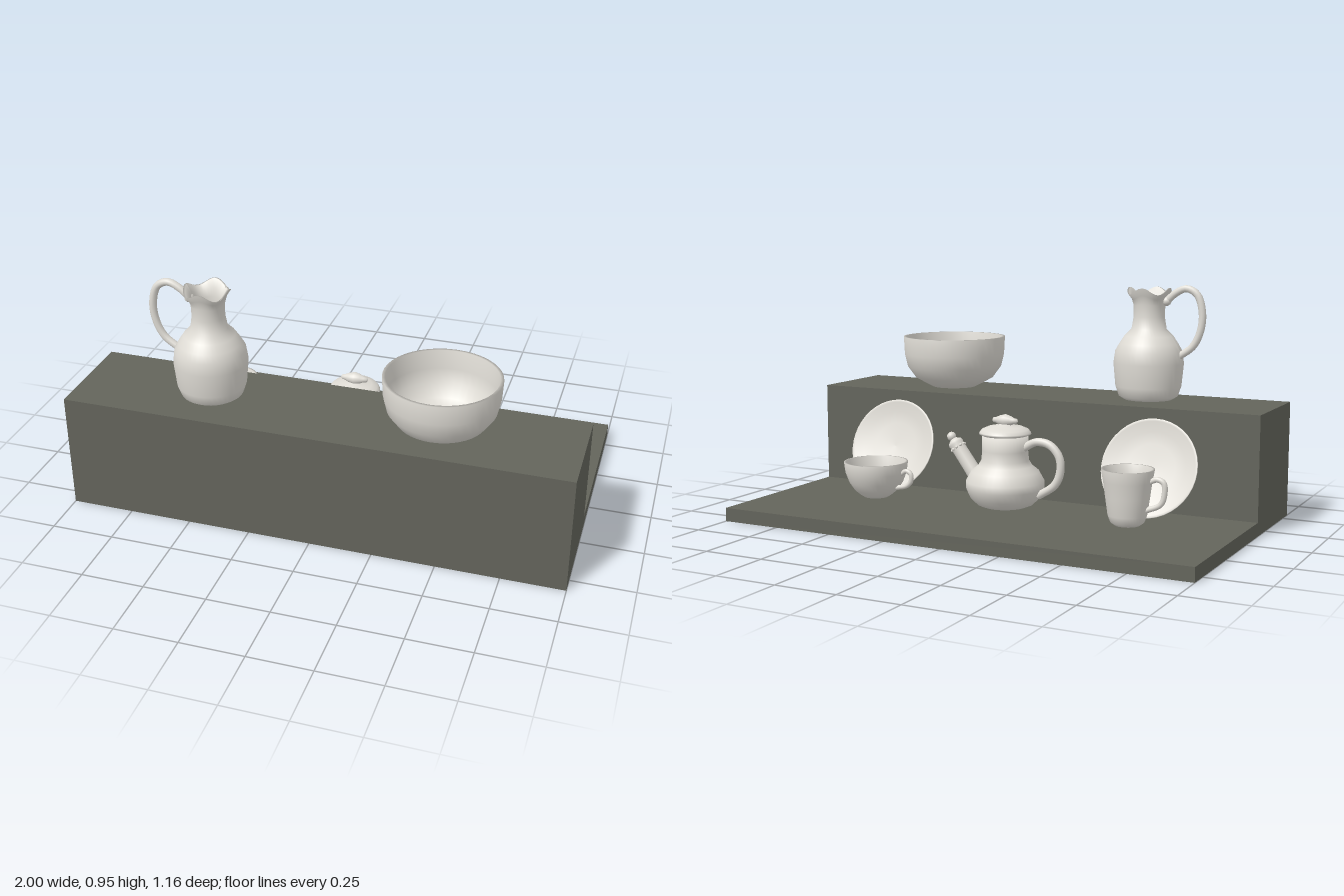
import * as THREE from 'three';

const ceramic = new THREE.MeshStandardMaterial({ color: 0xdedbd4 });
ceramic.name = 'pale ceramic';
const stone = new THREE.MeshStandardMaterial({ color: 0x63645b });
stone.name = 'grey stone';

const V2 = (p) => new THREE.Vector2(p[0], p[1]);

function add(parent, name, geometry, material = ceramic) {
  const mesh = new THREE.Mesh(geometry, material);
  mesh.name = name;
  parent.add(mesh);
  return mesh;
}

function group(parent, name, x, y, z) {
  const g = new THREE.Group();
  g.name = name;
  g.position.set(x, y, z);
  parent.add(g);
  return g;
}

// Solid of revolution, profile listed from bottom to top
const turned = (pts, sides = 40) => new THREE.LatheGeometry(pts.map(V2), sides, -Math.PI / 2);

// Hollow vessel: the outer profile, then an inner wall back down to the floor
function vessel(outer, wall, floor) {
  const inner = outer
    .filter((p) => p[1] > floor)
    .map(([r, y]) => [r - wall, y])
    .reverse();
  const low = inner[inner.length - 1];
  return turned([[0, outer[0][1]], ...outer, ...inner, [low[0] * 0.6, floor], [0, floor]]);
}

// Round handle along a path in the xy plane
function handle(parent, name, pts, radius) {
  const curve = new THREE.CatmullRomCurve3(pts.map(([x, y]) => new THREE.Vector3(x, y, 0)));
  return add(parent, name, new THREE.TubeGeometry(curve, 32, radius, 10));
}

function ball(parent, name, r, x, y, z = 0) {
  const m = add(parent, name, new THREE.SphereGeometry(r, 16, 12));
  m.position.set(x, y, z);
  return m;
}

export function createModel() {
  const model = new THREE.Group();
  model.name = 'teaSetOnStep';

  // Stepped stand
  const step = add(model, 'raisedStep', new THREE.BoxGeometry(2, 0.475, 0.418), stone);
  step.position.set(0, 0.2375, 0.356);
  const slab = add(model, 'lowSlab', new THREE.BoxGeometry(2, 0.055, 0.727), stone);
  slab.position.set(0, 0.0275, -0.2165);

  // Large bowl
  const bowl = group(model, 'largeBowl', 0.46, 0.48, 0.357);
  add(bowl, 'bowlBody', vessel([
    [0.095, 0], [0.13, 0.018], [0.172, 0.042], [0.207, 0.09], [0.22, 0.145], [0.224, 0.222],
  ], 0.012, 0.015));

  // Pitcher with a four-lobed wavy rim
  const pitcher = group(model, 'pitcher', -0.46, 0.48, 0.355);
  const jug = vessel([
    [0.1, 0], [0.122, 0.014], [0.136, 0.055], [0.145, 0.15], [0.138, 0.2], [0.121, 0.23],
    [0.1, 0.262], [0.072, 0.29], [0.064, 0.34], [0.065, 0.39], [0.074, 0.42], [0.09, 0.445],
  ], 0.008, 0.012);
  const pos = jug.attributes.position;
  for (let i = 0; i < pos.count; i++) {
    const lift = Math.max(0, (pos.getY(i) - 0.38) / 0.065);
    const angle = Math.atan2(pos.getZ(i), pos.getX(i));
    pos.setY(i, pos.getY(i) + 0.014 * lift * Math.cos(4 * angle));
  }
  jug.computeVertexNormals();
  add(pitcher, 'pitcherBody', jug);
  handle(pitcher, 'pitcherHandle', [
    [-0.075, 0.405], [-0.115, 0.44], [-0.16, 0.458], [-0.205, 0.435], [-0.228, 0.36],
    [-0.22, 0.285], [-0.19, 0.225], [-0.13, 0.18],
  ], 0.015);
  ball(pitcher, 'handleEnd', 0.019, -0.075, 0.405);

  // Teapot
  const pot = group(model, 'teapot', 0, 0.06, -0.043);
  add(pot, 'potBody', turned([
    [0, 0], [0.09, 0], [0.115, 0.01], [0.142, 0.036], [0.159, 0.075], [0.16, 0.105], [0.138, 0.145],
    [0.11, 0.168], [0.097, 0.19], [0.093, 0.23], [0.095, 0.295], [0, 0.295],
  ]));
  add(pot, 'potLid', turned([
    [0.09, 0.29], [0.106, 0.297], [0.104, 0.304], [0.094, 0.316], [0.07, 0.326], [0.032, 0.331],
    [0.018, 0.34], [0, 0.345],
  ]));
  const knob = add(pot, 'lidKnob', turned([
    [0, -0.058], [0.01, -0.052], [0.012, -0.04], [0.019, -0.025], [0.026, 0], [0.019, 0.025],
    [0.012, 0.04], [0.01, 0.052], [0, 0.058],
  ], 20));
  knob.rotation.z = Math.PI / 2;
  knob.position.y = 0.351;
  handle(pot, 'potHandle', [
    [-0.085, 0.245], [-0.14, 0.273], [-0.2, 0.265], [-0.241, 0.22], [-0.246, 0.16],
    [-0.222, 0.105], [-0.15, 0.055],
  ], 0.0165);

  // Sloping spout with a beaded collar and small stopper
  const spout = group(pot, 'spout', 0.095, 0.06, 0);
  spout.rotation.z = -Math.atan2(0.16, 0.215);
  add(spout, 'spoutTube', turned([
    [0.036, 0], [0.031, 0.1], [0.03, 0.215], [0.032, 0.222], [0.03, 0.232], [0.02, 0.24],
    [0.013, 0.245], [0, 0.247],
  ], 24));
  for (let i = 0; i < 10; i++) {
    const a = (i / 10) * Math.PI * 2;
    ball(spout, 'spoutBead', 0.006, 0.03 * Math.cos(a), 0.205, 0.03 * Math.sin(a));
  }
  ball(spout, 'spoutStopper', 0.019, 0, 0.258);

  // Tall cup
  const mug = group(model, 'tallCup', -0.57, 0.06, -0.13);
  add(mug, 'cupBody', vessel([
    [0.05, 0], [0.066, 0.012], [0.076, 0.04], [0.086, 0.11], [0.094, 0.17], [0.103, 0.218],
  ], 0.009, 0.012));
  handle(mug, 'cupHandle', [
    [-0.085, 0.172], [-0.12, 0.186], [-0.145, 0.175], [-0.15, 0.14], [-0.135, 0.092], [-0.075, 0.062],
  ], 0.011);

  // Wide cup
  const cup = group(model, 'wideCup', 0.567, 0.06, -0.127);
  add(cup, 'cupBody', vessel([
    [0.05, 0], [0.066, 0.01], [0.09, 0.03], [0.113, 0.064], [0.128, 0.105], [0.134, 0.15],
  ], 0.009, 0.012));
  handle(cup, 'cupHandle', [
    [-0.12, 0.105], [-0.15, 0.12], [-0.17, 0.108], [-0.17, 0.08], [-0.15, 0.058], [-0.1, 0.045],
  ], 0.01);

  // Saucers leaning against the step
  for (const x of [-0.588, 0.59]) {
    const plate = add(model, 'leaningSaucer', turned([
      [0, -0.036], [0.09, -0.036], [0.14, -0.026], [0.18, -0.012], [0.2, -0.002], [0.199, 0.003],
      [0.19, 0], [0.15, -0.011], [0.1, -0.021], [0, -0.026],
    ]));
    plate.position.set(x, 0.253, 0.04);
    plate.rotation.x = -1.19;
  }
  return model;
}
